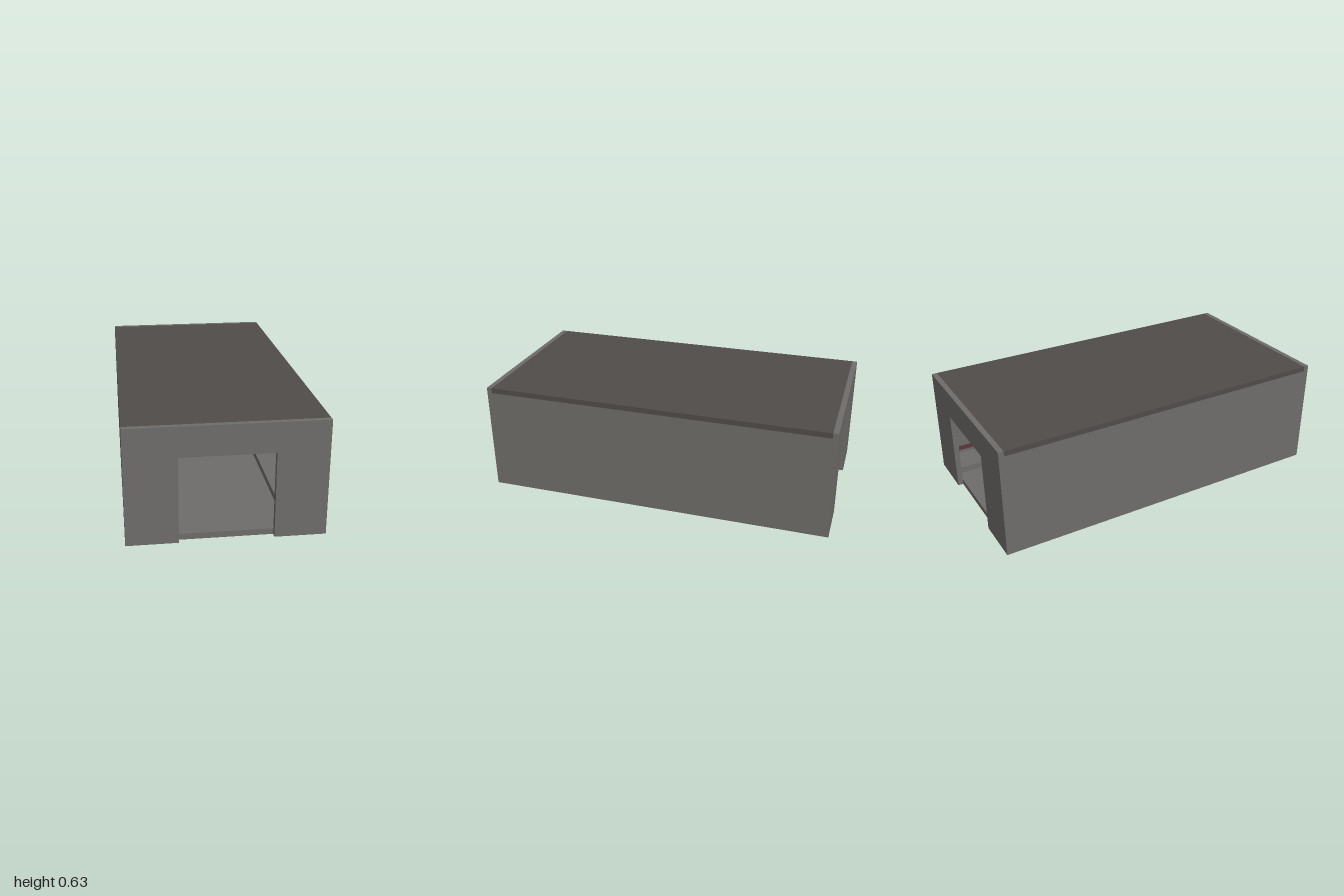
import * as THREE from 'three';

const HALF_W = 0.515, HEIGHT = 0.63, HALF_L = 1, T = 0.03;

export function createModel() {
  const group = new THREE.Group();
  const mat = (color) => new THREE.MeshStandardMaterial({ color });
  const wallMat = mat(0x6f6d6a), roofMat = mat(0x504c4a), trimMat = mat(0x5a3a38);

  const add = (name, geometry, material) => {
    const mesh = new THREE.Mesh(geometry, material);
    mesh.name = name;
    group.add(mesh);
    return mesh;
  };
  // Box given by its lower and upper corners
  const box = (name, material, [x0, y0, z0], [x1, y1, z1]) =>
    add(name, new THREE.BoxGeometry(x1 - x0, y1 - y0, z1 - z0), material)
      .position.set((x0 + x1) / 2, (y0 + y1) / 2, (z0 + z1) / 2);

  // End walls: one outline with the doorway cut up from the ground
  const DOOR_W = 0.245, DOOR_H = 0.468;
  const outline = new THREE.Shape([
    [-HALF_W, 0], [-DOOR_W, 0], [-DOOR_W, DOOR_H], [DOOR_W, DOOR_H],
    [DOOR_W, 0], [HALF_W, 0], [HALF_W, HEIGHT], [-HALF_W, HEIGHT],
  ].map(([x, y]) => new THREE.Vector2(x, y)));
  const endWall = new THREE.ExtrudeGeometry(outline, { depth: T, bevelEnabled: false });
  add('frontWall', endWall, wallMat).position.z = HALF_L - T;
  add('backWall', endWall, wallMat).position.z = -HALF_L;

  // Floor and roof slabs fit between the end walls
  const inner = HALF_L - T;
  box('floor', wallMat, [-HALF_W, 0, -inner], [HALF_W, 0.033, inner]);
  box('roof', roofMat, [-HALF_W, HEIGHT - T, -inner], [HALF_W, HEIGHT, inner]);

  // Long side walls, each with a thin rail inside
  for (const [side, s] of [['left', 1], ['right', -1]]) {
    const span = (a, b) => (s > 0 ? [a, b] : [-b, -a]);
    const [w0, w1] = span(HALF_W - T, HALF_W);
    box(side + 'Wall', wallMat, [w0, 0.033, -inner], [w1, HEIGHT - T, inner]);
    const [r0, r1] = span(HALF_W - T - 0.01, HALF_W - T);
    box(side + 'Rail', trimMat, [r0, 0.095, -inner], [r1, 0.12, inner]);
  }

  // Low raised walkway along the left wall
  box('walkway', wallMat, [0.315, 0.033, -inner], [HALF_W - T, 0.07, inner]);

  return group;
}
